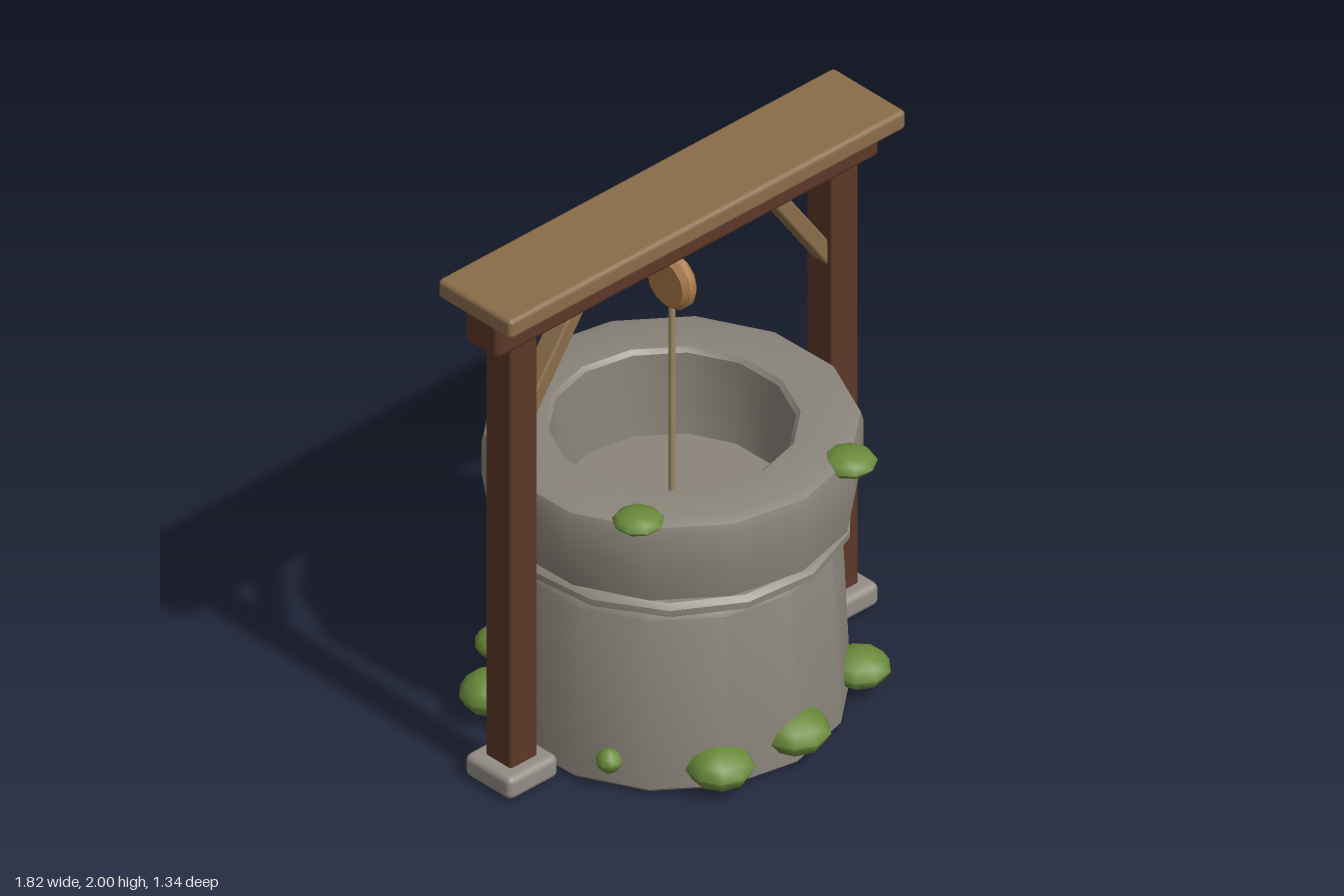
import * as THREE from 'three';
import { toCreasedNormals } from 'three/addons/utils/BufferGeometryUtils.js';
import { RoundedBoxGeometry } from 'three/addons/geometries/RoundedBoxGeometry.js';

const material = (name, color) => {
  const m = new THREE.MeshStandardMaterial({ color });
  m.name = name;
  return m;
};

export function createModel() {
  const stone = material('stone', 0x8a847a);
  const paleStone = material('pale stone', 0x938d86);
  const darkWood = material('dark wood', 0x5c3828);
  const lightWood = material('light wood', 0x8a6d4a);
  const pulleyWood = material('pulley wood', 0xa87847);
  const ropeFibre = material('rope fibre', 0x9c8a66);
  const moss = material('moss', 0x6a8a3a);

  const model = new THREE.Group();
  model.name = 'well';

  const add = (parent, name, geometry, mat, x = 0, y = 0, z = 0) => {
    const mesh = new THREE.Mesh(geometry, mat);
    mesh.name = name;
    mesh.position.set(x, y, z);
    parent.add(mesh);
    return mesh;
  };
  const beamBox = (w, h, d, r) => new RoundedBoxGeometry(w, h, d, 2, r);
  const turned = (profile, sides, start, crease) => toCreasedNormals(
    new THREE.LatheGeometry(profile.map(([r, y]) => new THREE.Vector2(r, y)), sides, start), crease);

  // Stone shaft, tapering upwards and closed at both ends
  const start = -0.094;
  add(model, 'shaft', turned([
    [0, 0.005], [0.575, 0.005], [0.597, 0.025], [0.568, 0.68], [0.55, 0.71], [0, 0.715],
  ], 14, start, 0.6), stone, -0.008, 0, -0.01);

  // Thin stone band between the shaft and the rim, slightly tilted
  const band = add(model, 'band', turned([
    [0, -0.03], [0.575, -0.03], [0.6, -0.012], [0.6, 0.012], [0.58, 0.03], [0, 0.03],
  ], 14, start + 0.1, 0.6), stone, 0, 0.74, -0.005);
  band.rotation.set(0.012, 0, 0.008);

  // Heavy rim with the round opening
  add(model, 'rim', turned([
    [0.39, 0.772], [0.585, 0.772], [0.612, 0.79], [0.634, 0.93], [0.634, 1.05],
    [0.624, 1.085], [0.59, 1.1], [0.425, 1.1], [0.41, 1.085], [0.39, 0.772],
  ], 14, start, 0.6), stone, 0, 0, -0.008);

  // Wooden frame, turned slightly against the shaft
  const frame = new THREE.Group();
  frame.name = 'frame';
  frame.position.set(-0.003, 0, -0.008);
  frame.rotation.y = -0.113;
  model.add(frame);
  add(frame, 'roofPlank', beamBox(1.8, 0.075, 0.353, 0.018), lightWood, 0, 1.9625);
  add(frame, 'crossBeam', beamBox(1.74, 0.137, 0.16, 0.02), darkWood, 0, 1.853);
  for (const [side, s] of [['left', 1], ['right', -1]]) {
    add(frame, side + 'Post', beamBox(0.122, 1.74, 0.122, 0.01), darkWood, s * 0.729, 0.94);
    add(frame, side + 'Foot', beamBox(0.225, 0.088, 0.225, 0.025), paleStone, s * 0.729, 0.06);
    const brace = add(frame, side + 'Brace', beamBox(0.06, 0.43, 0.08, 0.01), lightWood, s * 0.573, 1.61);
    brace.rotation.z = s * 0.61;
  }

  // Pulley wheel with chamfered edges, and its rope
  const pulley = add(frame, 'pulley', turned([
    [0, -0.032], [0.085, -0.032], [0.105, -0.012], [0.105, 0.012], [0.085, 0.032], [0, 0.032],
  ], 12, 0, 0.65), pulleyWood, 0, 1.658);
  pulley.rotation.z = Math.PI / 2;
  add(frame, 'rope', new THREE.CylinderGeometry(0.011, 0.011, 1.09, 8), ropeFibre, 0, 1.245, 0);

  // Moss clumps: x, y, z, width radius, height radius
  const clump = turned([
    [0, -1], [0.45, -0.87], [0.8, -0.52], [1, 0], [0.8, 0.52], [0.45, 0.87], [0, 1],
  ], 9, 0.2, 0.8);
  const clumps = [
    [-0.53, 1.105, 0.29, 0.088, 0.036], [0.21, 1.08, 0.577, 0.095, 0.042],
    [-0.56, 0.115, 0.19, 0.047, 0.045], [-0.33, 0.1, 0.475, 0.118, 0.078],
    [-0.035, 0.122, 0.55, 0.122, 0.08], [0.395, 0.11, 0.465, 0.108, 0.068],
    [0.575, 0.125, -0.02, 0.12, 0.08], [0.48, 0.1, -0.395, 0.102, 0.072],
    [0.06, 0.115, -0.615, 0.058, 0.042], [-0.25, 0.1, -0.545, 0.085, 0.06],
    [-0.5, 0.11, -0.37, 0.11, 0.078],
  ];
  clumps.forEach(([x, y, z, r, h], i) => {
    const mesh = add(model, 'mossClump', clump, moss, x, y, z);
    mesh.scale.set(r, h, r);
    mesh.rotation.y = i * 1.3;
  });

  return model;
}
